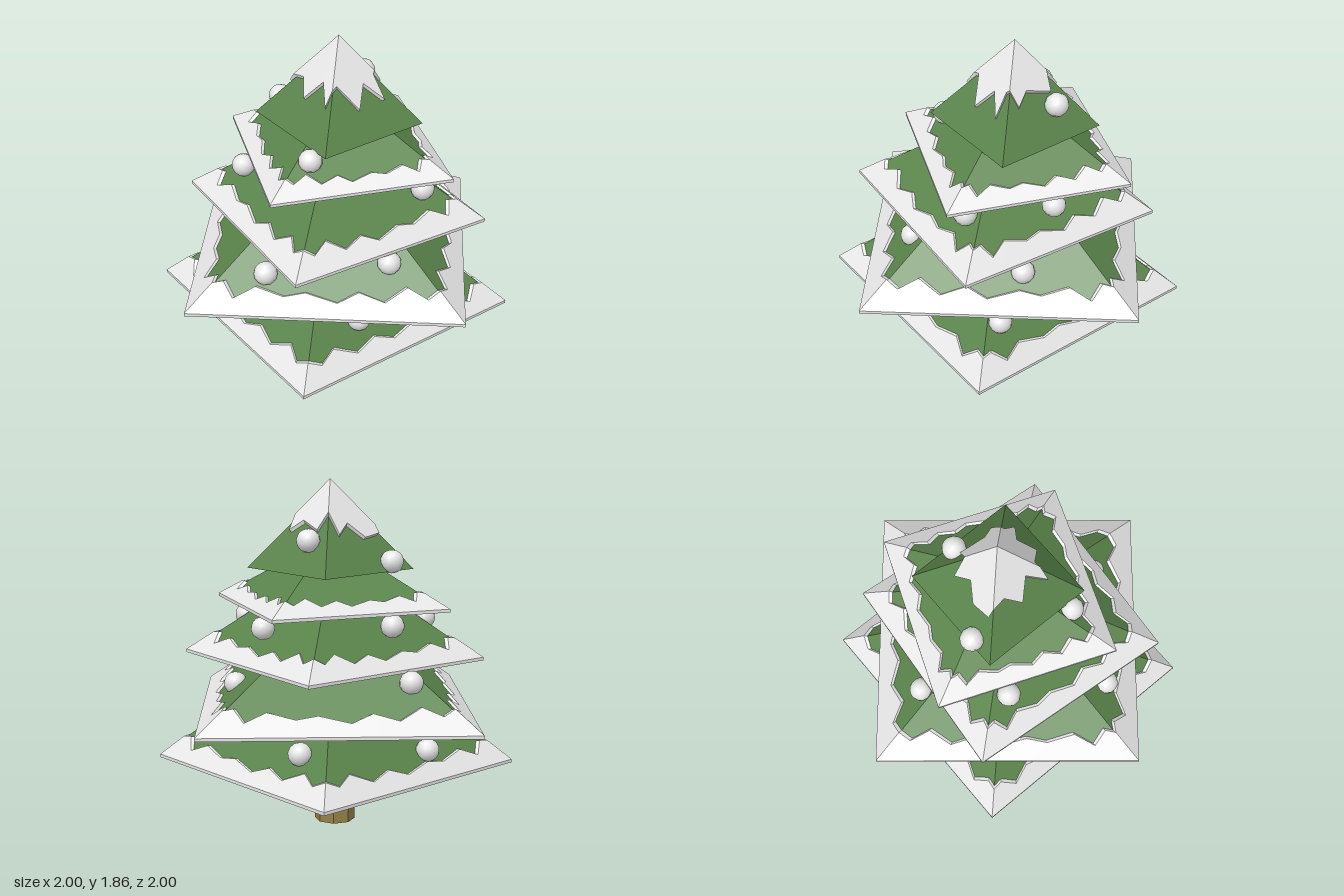
import * as THREE from 'three';

const mat = (name, color) => {
  const m = new THREE.MeshStandardMaterial({ color });
  m.name = name;
  return m;
};

// Faceted surface from rows of points; each row runs left to right seen from outside
function strip(rows) {
  const pos = [];
  const tri = (...pts) => pts.forEach((p) => pos.push(...p));
  for (let r = 0; r < rows.length - 1; r++) {
    for (let i = 0; i < rows[r].length - 1; i++) {
      const a = rows[r][i], b = rows[r][i + 1], c = rows[r + 1][i + 1], d = rows[r + 1][i];
      tri(a, b, c);
      tri(a, c, d);
    }
  }
  const g = new THREE.BufferGeometry();
  g.setAttribute('position', new THREE.Float32BufferAttribute(pos, 3));
  g.computeVertexNormals();
  return g;
}

function faceted(geometry) {
  const g = geometry.toNonIndexed();
  g.computeVertexNormals();
  return g;
}

// Jagged snow line along one side: position along the side, inset toward the peak
const snowLine = [
  [-0.86, 0.14], [-0.78, 0.15], [-0.68, 0.075], [-0.53, 0.13], [-0.31, 0.09], [-0.15, 0.11],
  [0.09, 0.07], [0.25, 0.12], [0.44, 0.08], [0.62, 0.15], [0.76, 0.1], [0.86, 0.14],
];

// Snow band around the rim of a four-sided tier
function snowBand(half, height, depth) {
  const lift = 0.017;
  const rows = [[], [], [], []];
  for (let k = 0; k < 4; k++) {
    const line = k % 2 ? snowLine.map(([u, f]) => [-u, f]).reverse() : snowLine;
    const c = Math.round(Math.cos(k * Math.PI / 2)), s = Math.round(Math.sin(k * Math.PI / 2));
    for (const [u, f0] of line) {
      const v = u / (1 - f0);
      const f = f0 * depth;
      const at = (inset, up) => {
        const z = (1 - inset) * half, x = v * z;
        return [x * c + z * s, height * inset + up, -x * s + z * c];
      };
      const foot = f + 0.016 / half;
      rows[0].push(at(0, 0));
      rows[1].push(at(0, lift));
      rows[2].push(at(f, lift));
      rows[3].push(at(foot, -0.002));
    }
  }
  return strip(rows);
}

// Jagged outline of the snow on the peak (x, z)
const capLine = [
  [-0.166, 0.166], [-0.09, 0.157], [-0.015, 0.21], [0.06, 0.14], [0.156, 0.2], [0.147, 0.147],
  [0.14, 0.114], [0.226, 0.034], [0.156, -0.04], [0.22, -0.13], [0.14, -0.116], [0.13, -0.13],
  [0.113, -0.185], [0.04, -0.148], [-0.095, -0.175], [-0.113, -0.113], [-0.19, -0.105],
  [-0.154, -0.02], [-0.207, 0.06], [-0.197, 0.167], [-0.166, 0.166],
];

export function createModel() {
  const green = mat('pine green', 0x5a844b);
  const white = mat('snow white', 0xf0f0f0);
  const brown = mat('bark brown', 0x968047);
  const tree = new THREE.Group();
  tree.name = 'snowyTree';
  const add = (parent, name, geometry, material) => {
    const m = new THREE.Mesh(geometry, material);
    m.name = name;
    parent.add(m);
    return m;
  };

  // Octagonal trunk
  const trunk = new THREE.CylinderGeometry(0.11, 0.11, 0.35, 8);
  add(tree, 'trunk', faceted(trunk), brown).position.y = 0.175;

  // Tiers: half side, height, base y, centre x and z, turn in degrees, snow depth
  const tiers = [
    [0.68, 0.75, 0.33, 0, 0, 0, 1],
    [0.71, 0.58, 0.63, 0, 0, 50.1, 1.3],
    [0.572, 0.53, 0.905, 0.017, 0, -5, 1.35],
    [0.476, 0.355, 1.2, -0.018, -0.05, -21.4, 1.5],
    [0.31, 0.44, 1.39, -0.02, -0.05, 0, 0],
  ];
  tiers.forEach(([half, height, y, x, z, turn, depth], i) => {
    const tier = new THREE.Group();
    tier.name = `tier${i + 1}`;
    tier.position.set(x, y, z);
    tier.rotation.y = THREE.MathUtils.degToRad(turn);
    const cone = new THREE.ConeGeometry(half * Math.SQRT2, height, 4);
    cone.rotateY(Math.PI / 4).translate(0, height / 2, 0);
    add(tier, 'branches', faceted(cone), green);
    if (depth) add(tier, 'snowRim', snowBand(half, height, depth), white);
    else {
      // Snow cap on the peak
      const slope = height / half;
      const ring = (up, k) => capLine.map(([px, pz]) =>
        [px * k, height + up - slope * k * Math.max(Math.abs(px), Math.abs(pz)), pz * k]);
      add(tier, 'snowCap', strip([ring(-0.002, 0.94), ring(0.03, 1), ring(0.03, 0)]), white);
    }
    tree.add(tier);
  });

  // Round ornaments, poles pointing outward
  const ball = new THREE.SphereGeometry(0.062, 12, 8);
  const up = new THREE.Vector3(0, 1, 0);
  [
    [-0.11, 1.56, -0.28], [-0.32, 1.44, 0.11], [0.19, 1.34, 0.28],
    [-0.3, 1.115, 0.37], [0.44, 1.11, -0.25], [-0.42, 1.125, 0.02], [0.04, 1.11, -0.46],
    [0.21, 0.79, 0.58], [0.565, 0.84, 0.06], [-0.59, 0.86, -0.01], [0.25, 0.79, -0.48],
    [-0.23, 0.555, 0.5], [-0.575, 0.48, 0.13], [0.525, 0.53, 0.22],
    [-0.33, 0.53, -0.53], [0.41, 0.55, -0.5],
  ].forEach(([x, y, z]) => {
    const m = add(tree, 'ornament', ball, white);
    m.position.set(x, y, z);
    m.quaternion.setFromUnitVectors(up, new THREE.Vector3(x, 0.2, z).normalize());
  });
  return tree;
}
